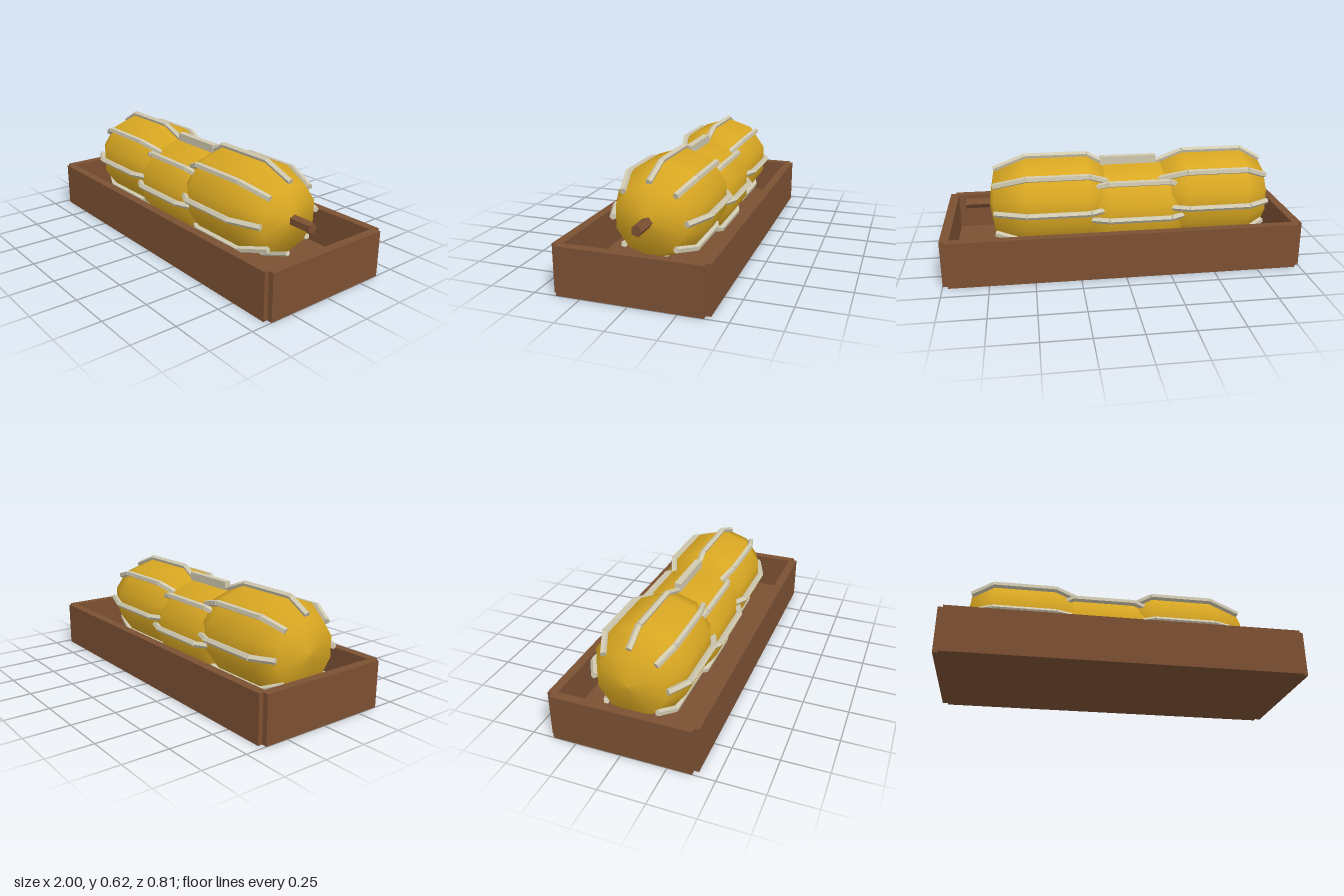
import * as THREE from 'three';

export function createModel() {
  const model = new THREE.Group();
  const wood = new THREE.MeshStandardMaterial({ color: 0x7b5033, flatShading: true });
  wood.name = 'brown wood';
  const gold = new THREE.MeshStandardMaterial({ color: 0xdaa822 });
  gold.name = 'golden yellow';
  const bone = new THREE.MeshStandardMaterial({ color: 0xd0c9b0, flatShading: true });
  bone.name = 'pale bone';

  const add = (parent, name, geometry, material, x = 0, y = 0, z = 0) => {
    const mesh = new THREE.Mesh(geometry, material);
    mesh.name = name;
    mesh.position.set(x, y, z);
    parent.add(mesh);
    return mesh;
  };

  // Open wooden tray: floor and four walls with notched corners
  const tray = new THREE.Group();
  tray.name = 'tray';
  model.add(tray);
  add(tray, 'trayFloor', new THREE.BoxGeometry(1.92, 0.05, 0.73), wood, 0, 0.025, 0);
  for (const s of [1, -1]) {
    add(tray, s > 0 ? 'frontWall' : 'backWall', new THREE.BoxGeometry(1.94, 0.26, 0.05), wood, 0, 0.13, s * 0.38);
    add(tray, s > 0 ? 'leftWall' : 'rightWall', new THREE.BoxGeometry(0.05, 0.26, 0.76), wood, s * 0.975, 0.13, 0);
  }

  // Ten-sided lobe, lying along x
  const lobeProfile = [[0, -0.36], [0.19, -0.325], [0.26, -0.205], [0.26, 0.145], [0.19, 0.325], [0, 0.36]]
    .map(([r, x]) => new THREE.Vector2(r, x));
  const lobeGeometry = new THREE.LatheGeometry(lobeProfile, 10, Math.PI / 2);
  lobeGeometry.rotateZ(-Math.PI / 2);

  // Five-sided rib segment between two points of the xy plane, ridge outward
  const ribGeometry = ([x0, y0], [x1, y1]) => {
    const g = new THREE.CylinderGeometry(0.018, 0.018, Math.hypot(x1 - x0, y1 - y0), 5);
    g.rotateX(-Math.PI / 2).rotateY(-Math.PI / 2);
    g.rotateZ(Math.atan2(y1 - y0, x1 - x0));
    g.translate((x0 + x1) / 2, (y0 + y1) / 2, 0);
    return g;
  };
  const ribPath = [[-0.325, 0.198], [-0.205, 0.266], [0.145, 0.266], [0.325, 0.198]];
  const ribGeometries = [0, 1, 2].map(i => ribGeometry(ribPath[i], ribPath[i + 1]));

  // Three overlapping lobes, each with ribs every 45 degrees
  const lobes = [
    ['rightLobe', -0.525, 0.335, false],
    ['middleLobe', -0.07, 0.285, true],
    ['leftLobe', 0.385, 0.335, false],
  ];
  for (const [name, x, y, skipTop] of lobes) {
    const lobe = new THREE.Group();
    lobe.name = name;
    lobe.position.set(x, y, 0);
    model.add(lobe);
    add(lobe, name + 'Body', lobeGeometry, gold);
    for (let i = skipTop ? 1 : 0; i < 8; i++) {
      const rib = new THREE.Group();
      rib.name = 'rib';
      rib.rotation.x = i * Math.PI / 4;
      ribGeometries.forEach(g => add(rib, 'ribSegment', g, bone));
      lobe.add(rib);
    }
  }

  // Square bar along the top of the middle lobe
  add(model, 'topBar', new THREE.BoxGeometry(0.325, 0.05, 0.038), bone, -0.063, 0.56, 0);

  // Five-sided stem at the left end
  const stem = new THREE.CylinderGeometry(0.03, 0.03, 0.25, 5);
  stem.rotateY(Math.PI).rotateZ(-Math.PI / 2);
  add(model, 'stem', stem, wood, 0.75, 0.335, 0);

  return model;
}
